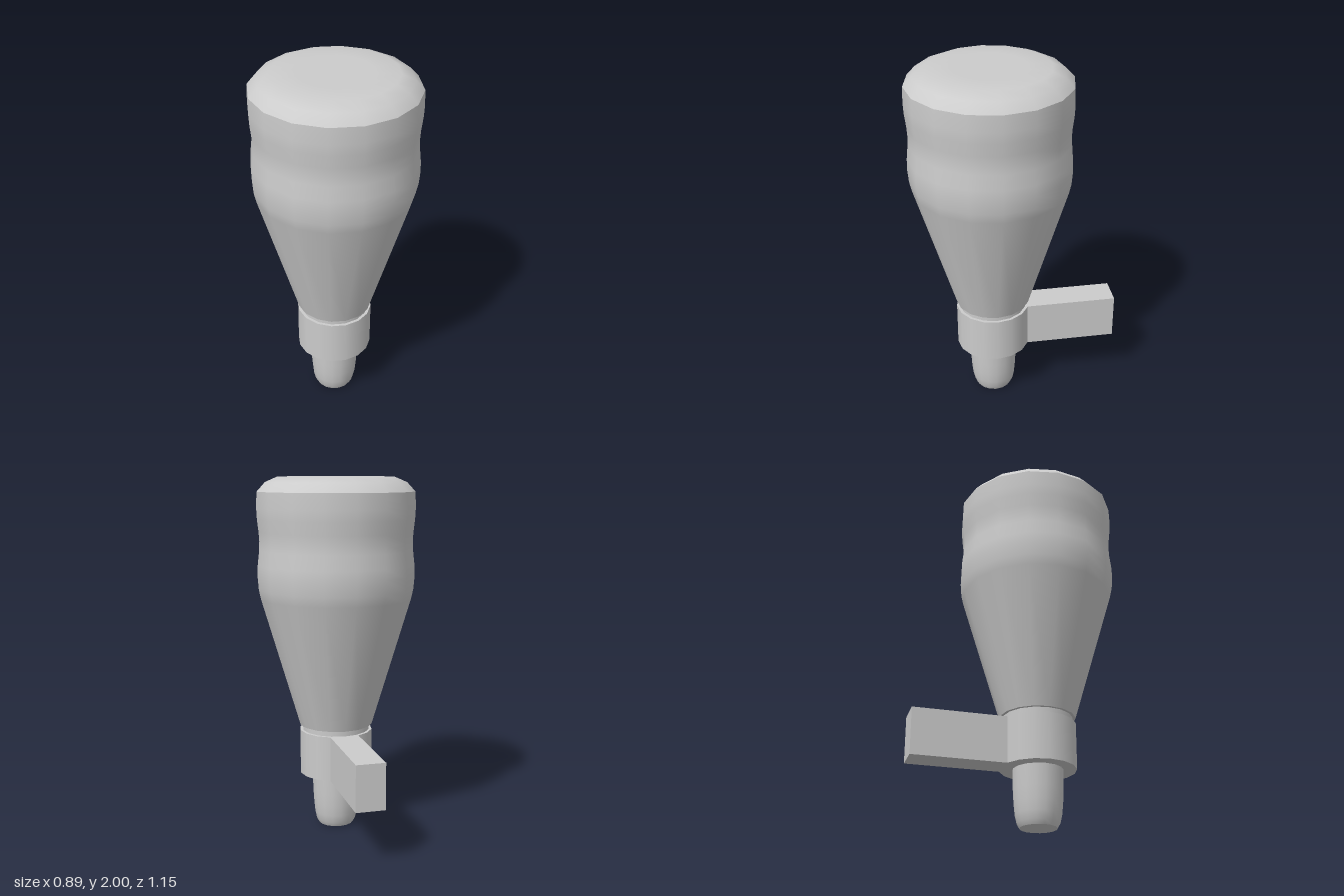
import * as THREE from 'three';

const SIDES = 16;
const AXIS_Z = 0.128;
const material = new THREE.MeshStandardMaterial({ color: 0xcccccc });

// Turned part: each profile of [radius, y] pairs is smooth, with sharp edges between profiles
function turned(name, ...profiles) {
  const group = new THREE.Group();
  group.name = name;
  profiles.forEach((profile, i) => {
    const points = profile.map(([r, y]) => new THREE.Vector2(r, y));
    const mesh = new THREE.Mesh(new THREE.LatheGeometry(points, SIDES), material);
    mesh.name = `${name}Surface${i + 1}`;
    group.add(mesh);
  });
  group.position.z = AXIS_Z;
  return group;
}

export function createModel() {
  const model = new THREE.Group();
  model.name = 'handledPlug';

  // Rounded tip with a flat end
  model.add(turned('tip',
    [[0, 0], [0.1, 0]],
    [[0.1, 0], [0.114, 0.025], [0.124, 0.07], [0.13, 0.13], [0.134, 0.2], [0.137, 0.32]]));

  // Collar ring
  model.add(turned('collar',
    [[0, 0.312], [0.208, 0.312]],
    [[0.208, 0.312], [0.208, 0.568]],
    [[0.208, 0.568], [0, 0.568]]));

  // Narrow neck between collar and grip
  model.add(turned('neck', [[0.192, 0.56], [0.192, 0.605]]));

  // Flared grip with a shallow waist
  model.add(turned('grip',
    [[0, 0.6], [0.208, 0.6]],
    [[0.208, 0.6], [0.425, 1.33], [0.437, 1.385], [0.443, 1.46], [0.441, 1.52], [0.432, 1.6],
      [0.43, 1.65], [0.433, 1.7], [0.441, 1.77], [0.444, 1.83], [0.441, 1.918]]));

  // Domed cap
  model.add(turned('cap',
    [[0.441, 1.918], [0.395, 1.968], [0.325, 1.998], [0.2, 2], [0, 2]]));

  // Side bar reaching back from the collar
  const bar = new THREE.Mesh(new THREE.BoxGeometry(0.162, 0.256, 0.575), material);
  bar.name = 'bar';
  bar.position.set(0, 0.44, -0.2875);
  model.add(bar);

  return model;
}
